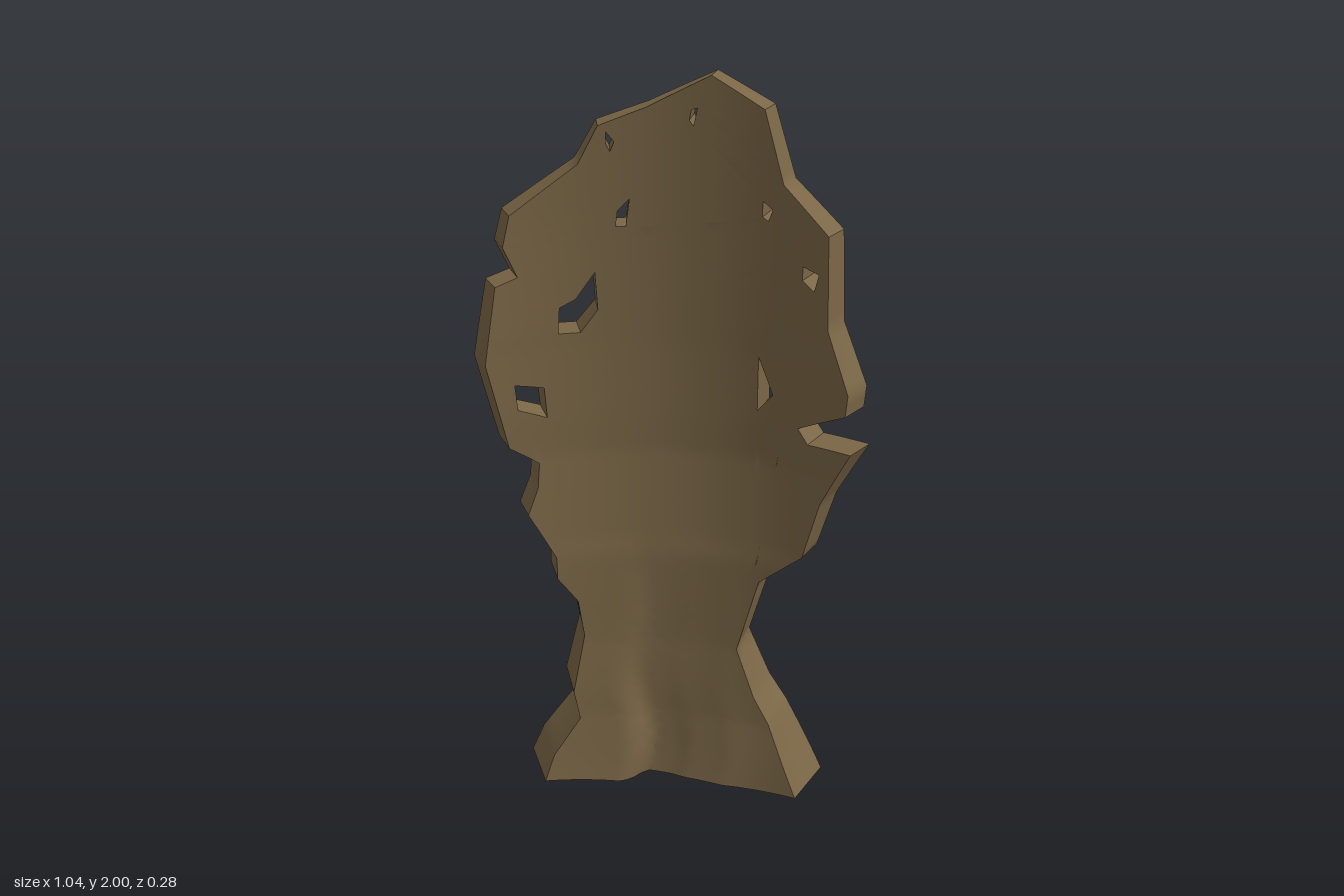
import * as THREE from 'three';
import { toCreasedNormals } from 'three/addons/utils/BufferGeometryUtils.js';

const DEPTH = 0.02; // flat slab depth before bending
const MAX_EDGE = 0.04;

// ragged outline of the slab, counter-clockwise from the bottom right
const OUTLINE = [
  [0.411, 0], [0.312, 0.21], [0.262, 0.285], [0.203, 0.425], [0.263, 0.645], [0.387, 0.745],
  [0.433, 0.91], [0.512, 1.07], [0.392, 1.07], [0.363, 1.11], [0.492, 1.17], [0.497, 1.23],
  [0.434, 1.39], [0.424, 1.63], [0.3, 1.745], [0.245, 1.925], [0.102, 2], [-0.07, 1.92],
  [-0.2, 1.875], [-0.255, 1.78], [-0.433, 1.66], [-0.453, 1.58], [-0.42, 1.5], [-0.477, 1.48],
  [-0.512, 1.275], [-0.463, 1.035], [-0.385, 0.98], [-0.39, 0.91], [-0.418, 0.835], [-0.343, 0.7],
  [-0.343, 0.635], [-0.287, 0.56], [-0.272, 0.45], [-0.31, 0.275], [-0.293, 0.19], [-0.375, 0.08],
  [-0.406, 0],
];

// knot holes and cracks
const HOLES = [
  [[-0.295, 1.34], [-0.24, 1.34], [-0.195, 1.4], [-0.2, 1.5], [-0.25, 1.43], [-0.29, 1.41]],
  [[-0.405, 1.21], [-0.335, 1.195], [-0.33, 1.11], [-0.4, 1.14]],
  [[0.225, 1.29], [0.265, 1.19], [0.225, 1.14]],
  [[0.33, 1.545], [0.37, 1.53], [0.36, 1.485], [0.33, 1.51]],
  [[0.225, 1.7], [0.25, 1.68], [0.24, 1.65], [0.225, 1.66]],
  [[-0.11, 1.69], [-0.12, 1.62], [-0.145, 1.62], [-0.14, 1.66]],
  [[-0.165, 1.86], [-0.145, 1.835], [-0.155, 1.81], [-0.165, 1.83]],
  [[0.06, 1.92], [0.05, 1.875], [0.04, 1.89], [0.045, 1.915]],
];

// straight interpolation through [position, value] pairs
function curve(points, t) {
  if (t <= points[0][0]) return points[0][1];
  for (let i = 1; i < points.length; i++) {
    const [t0, v0] = points[i - 1], [t1, v1] = points[i];
    if (t <= t1) return THREE.MathUtils.mapLinear(t, t0, t1, v0, v1);
  }
  return points[points.length - 1][1];
}

// half thickness across the foot, and how far up its flare reaches
const FOOT = [[-0.4, 0.085], [-0.165, 0.128], [-0.13, 0.118], [-0.08, 0.073], [0, 0.087], [0.04, 0.1], [0.17, 0.114], [0.4, 0.087]];
const FLARE = [[0, 1], [0.2, 0.52], [0.43, 0.27], [0.75, 0]];
// half thickness, depth of the spine and strength of the curl by height
const THICKNESS = [[0, 0.047], [1.1, 0.049], [1.6, 0.044], [2, 0.042]];
const CENTRE = [[0, -0.029], [0.43, -0.036], [0.7, -0.03], [1, -0.052], [1.3, -0.048], [2, -0.024]];
const CURL = [[0, 0.55], [0.6, 0.56], [1.1, 0.6], [1.35, 0.6], [1.65, 0.55]];

// curl the flat slab around the vertical axis and thicken the foot
function bend(v) {
  const side = (v.z / DEPTH) * 2 - 1;
  const wave = 0.025 * Math.sin(v.y * 14) * Math.max(0, 1 - v.y);
  const half = THREE.MathUtils.lerp(curve(THICKNESS, v.y), curve(FOOT, v.x - wave), curve(FLARE, v.y));
  const curl = curve(CURL, v.y);
  const slope = 2 * curl * v.x;
  const len = Math.hypot(1, slope);
  return [
    v.x - (side * half * slope) / len,
    v.y,
    curve(CENTRE, v.y) + curl * v.x * v.x + (side * half) / len,
  ];
}

// halve the longest edge until every edge is short
function split(a, b, c, out) {
  const ab = a.distanceTo(b), bc = b.distanceTo(c), ca = c.distanceTo(a);
  if (Math.max(ab, bc, ca) <= MAX_EDGE) {
    out.push(...bend(a), ...bend(b), ...bend(c));
    return;
  }
  // turn the corners so that the edge p-q is the longest
  let [p, q, r] = [a, b, c];
  if (bc > ab && bc >= ca) [p, q, r] = [b, c, a];
  else if (ca > ab) [p, q, r] = [c, a, b];
  const m = p.clone().add(q).multiplyScalar(0.5);
  split(p, m, r, out);
  split(m, q, r, out);
}

export function createModel() {
  const group = new THREE.Group();
  group.name = 'barkPiece';

  const toPoints = (list, scale) => list.map(([x, y]) => new THREE.Vector2(x * scale, y));
  const shape = new THREE.Shape(toPoints(OUTLINE, 0.965));
  for (const hole of HOLES) shape.holes.push(new THREE.Path(toPoints(hole, 1.05)));

  const flat = new THREE.ExtrudeGeometry(shape, { depth: DEPTH, bevelEnabled: false });
  const pos = flat.attributes.position;
  const corner = (i) => new THREE.Vector3().fromBufferAttribute(pos, i);
  const vertices = [];
  for (let i = 0; i < pos.count; i += 3) split(corner(i), corner(i + 1), corner(i + 2), vertices);

  const geometry = new THREE.BufferGeometry();
  geometry.setAttribute('position', new THREE.Float32BufferAttribute(vertices, 3));

  const bark = new THREE.MeshStandardMaterial({ color: 0x7a6646 });
  bark.name = 'barkBrown';
  const slab = new THREE.Mesh(toCreasedNormals(geometry, 0.7), bark);
  slab.name = 'barkSlab';
  group.add(slab);
  return group;
}
